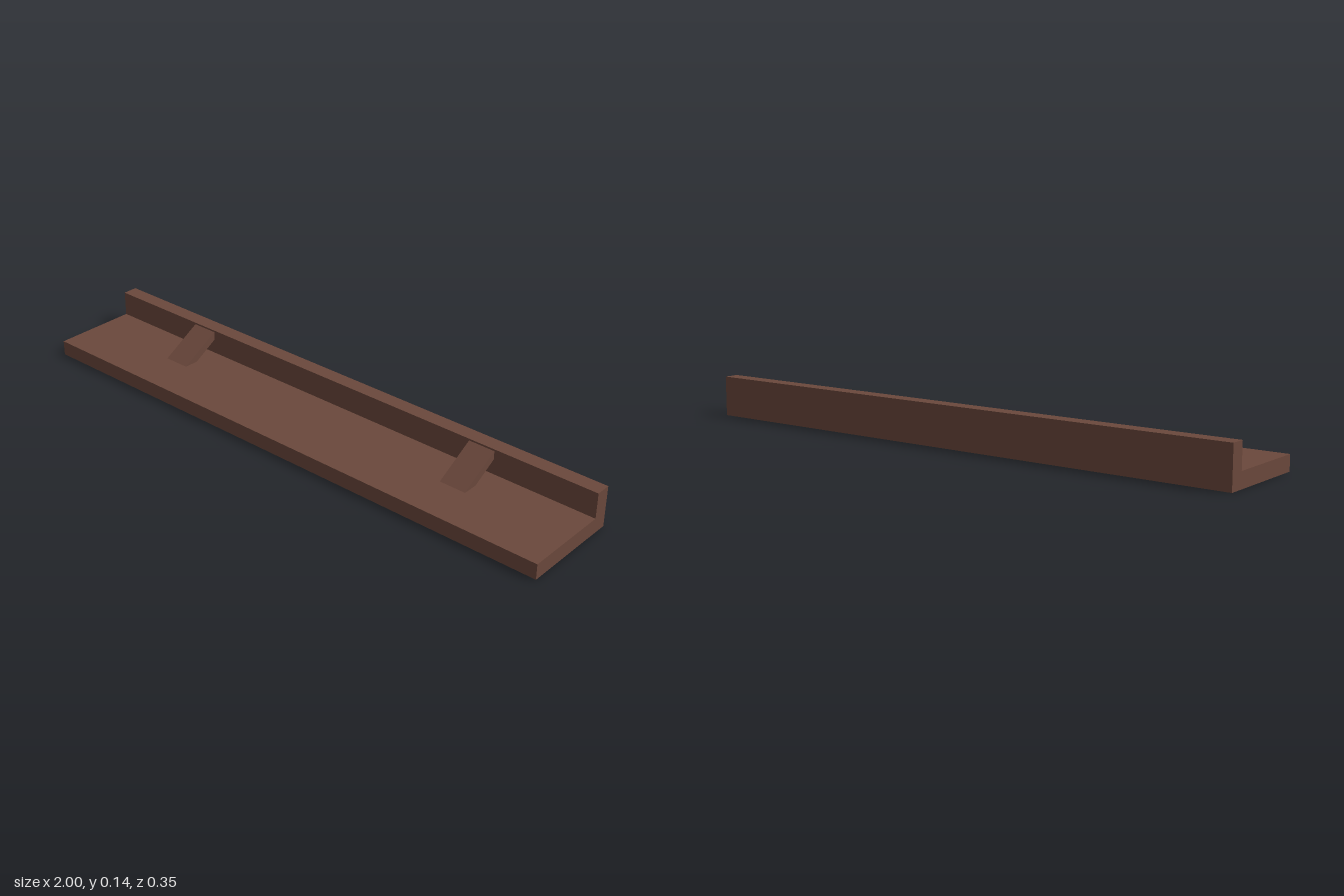
import * as THREE from 'three';

const LENGTH = 2, DEPTH = 0.348, THICK = 0.052, HEIGHT = 0.138;
const BACK = -DEPTH / 2;

export function createModel() {
  const group = new THREE.Group();
  const wood = new THREE.MeshStandardMaterial({ color: 0x6b483c });
  wood.name = 'brownWood';

  const add = (name, geometry, x, y, z) => {
    const mesh = new THREE.Mesh(geometry, wood);
    mesh.name = name;
    mesh.position.set(x, y, z);
    group.add(mesh);
    return mesh;
  };

  // Flat shelf board
  add('shelfBoard', new THREE.BoxGeometry(LENGTH, THICK, DEPTH), 0, THICK / 2, 0);

  // Upright board standing on the rear edge
  const upright = HEIGHT - THICK;
  add('backBoard', new THREE.BoxGeometry(LENGTH, upright, THICK),
    0, THICK + upright / 2, BACK + THICK / 2);

  // Slanted braces: side profile drawn as (-z, y), extruded across x
  const face = -(BACK + THICK);
  const profile = new THREE.Shape([
    new THREE.Vector2(-0.018, THICK),
    new THREE.Vector2(0.034, THICK),
    new THREE.Vector2(face, 0.103),
    new THREE.Vector2(face, 0.132),
  ]);
  const width = 0.093;
  const braceGeometry = new THREE.ExtrudeGeometry(profile, { depth: width, bevelEnabled: false });
  braceGeometry.translate(0, 0, -width / 2);
  braceGeometry.rotateY(Math.PI / 2);
  add('rightBrace', braceGeometry, -0.585, 0, 0);
  add('leftBrace', braceGeometry, 0.595, 0, 0);

  return group;
}
